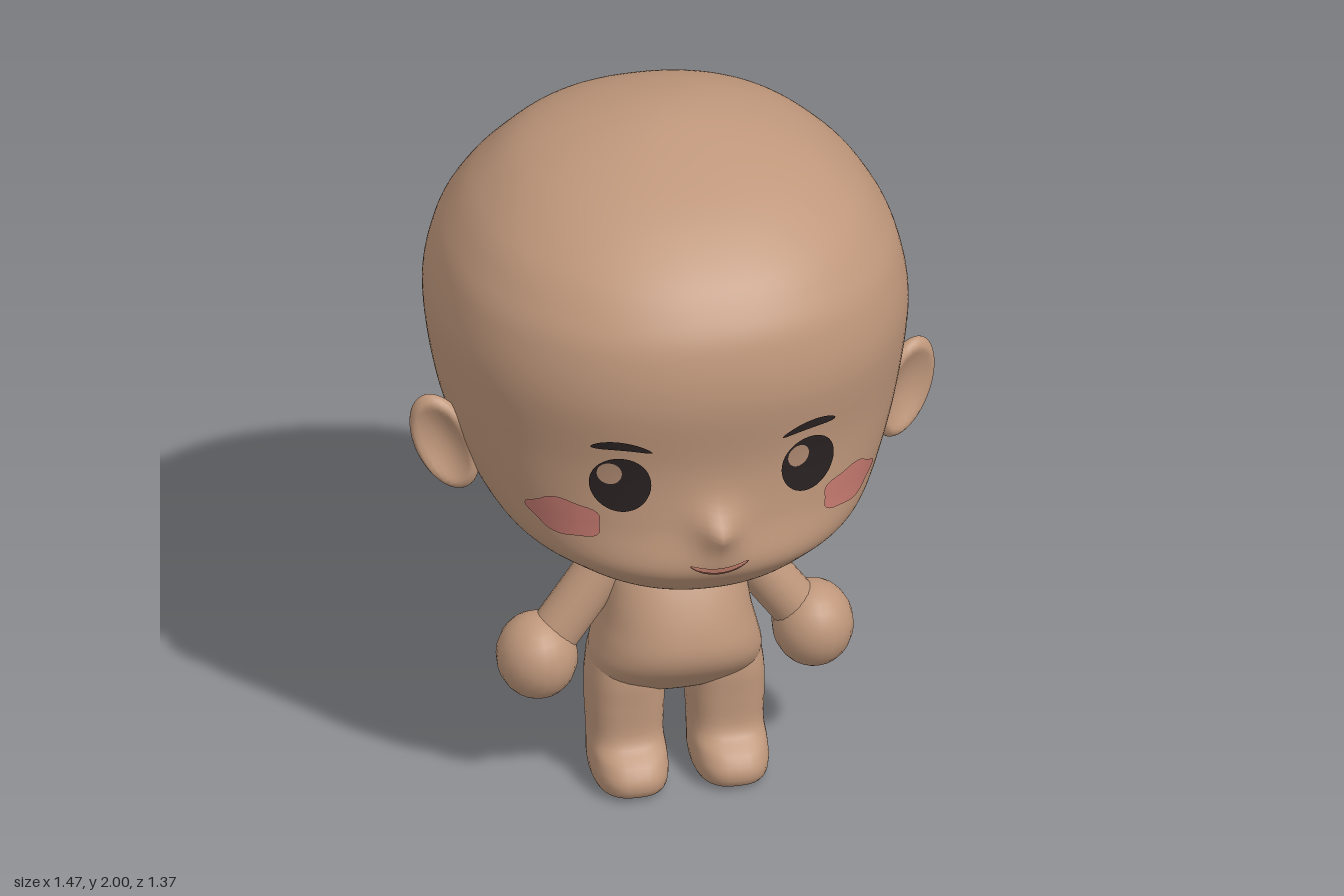
import * as THREE from 'three';

const mat = (name, color) => {
  const m = new THREE.MeshStandardMaterial({ color });
  m.name = name;
  return m;
};

// Smooth interpolation through cross-sections [y, halfWidth, zBack, zFront]
function section(rows, t) {
  const last = rows.length - 1;
  const i = Math.min(Math.floor(t), last - 1), f = t - i;
  const mirror = ([y, w, b, z]) => [y, -w, z, b]; // continues a closed end over its pole
  const p0 = i > 0 ? rows[i - 1] : mirror(rows[1]);
  const p1 = rows[i], p2 = rows[i + 1];
  const p3 = i + 2 <= last ? rows[i + 2] : mirror(rows[last - 1]);
  return p1.map((b, k) => {
    const a = p0[k], c = p2[k], d = p3[k];
    return 0.5 * (2 * b + (c - a) * f + (2 * a - 5 * b + 4 * c - d) * f * f + (3 * b - a - 3 * c + d) * f * f * f);
  });
}

// Closed smooth body made of superellipse loops stacked in y
function loft(rows, power, around, steps, bump = () => 0) {
  const pos = [], idx = [];
  const count = (rows.length - 1) * steps;
  const bend = (v) => Math.sign(v) * Math.abs(v) ** (2 / power);
  for (let i = 0; i <= count; i++) {
    const [y, w, zb, zf] = section(rows, i / steps);
    for (let j = 0; j < around; j++) {
      const a = (j / around) * Math.PI * 2;
      const x = w * bend(Math.sin(a));
      let z = (zb + zf) / 2 + ((zf - zb) / 2) * bend(Math.cos(a));
      if (Math.cos(a) > 0) z += bump(x, y);
      pos.push(x, y, z);
      if (i < count) {
        const p = i * around + j, q = i * around + ((j + 1) % around);
        idx.push(p, q, p + around, q, q + around, p + around);
      }
    }
  }
  const g = new THREE.BufferGeometry();
  g.setAttribute('position', new THREE.Float32BufferAttribute(pos, 3));
  g.setIndex(idx);
  g.computeVertexNormals();
  return g;
}

const HEAD_POWER = 2.2;
const headRows = [
  [0.76, 0, 0.24, 0.24], [0.775, 0.17, 0.03, 0.41], [0.82, 0.33, -0.29, 0.53], [0.88, 0.43, -0.38, 0.6],
  [0.945, 0.51, -0.46, 0.635], [1.07, 0.58, -0.575, 0.617], [1.24, 0.63, -0.64, 0.615], [1.45, 0.655, -0.687, 0.648],
  [1.6, 0.632, -0.662, 0.635], [1.7, 0.588, -0.61, 0.59], [1.8, 0.515, -0.525, 0.5], [1.9, 0.39, -0.42, 0.34],
  [1.97, 0.21, -0.25, 0.13], [2.0, 0, -0.06, -0.06],
];
const nose = (x, y) => 0.072 * Math.exp(-(Math.hypot(x / 0.05, (y - 1.06) / 0.06) ** 1.5));

// Front surface of the head at (x, y)
function headZ(x, y) {
  let lo = 0, hi = headRows.length - 1;
  for (let k = 0; k < 30; k++) {
    const mid = (lo + hi) / 2;
    if (section(headRows, mid)[0] < y) lo = mid; else hi = mid;
  }
  const [, w, zb, zf] = section(headRows, lo);
  const u = Math.min(Math.abs(x) / w, 1);
  return (zb + zf) / 2 + ((zf - zb) / 2) * (1 - u ** HEAD_POWER) ** (1 / HEAD_POWER) + nose(x, y);
}

// Thin painted patch that follows the face; shape maps a unit disc to an offset
function facePatch(cx, cy, lift, shape) {
  const g = new THREE.RingGeometry(0, 1, 40, 6);
  const p = g.attributes.position;
  for (let i = 0; i < p.count; i++) {
    const [dx, dy] = shape(p.getX(i), p.getY(i));
    p.setXYZ(i, cx + dx, cy + dy, headZ(cx + dx, cy + dy) + lift);
  }
  g.computeVertexNormals();
  return g;
}
const oval = (w, h) => (u, v) => [u * w, v * h];
const arc = (w, h, sag) => (u, v) => [u * w, v * h + sag * u * u];

// Flattened oval with a hollow front
function earGeometry() {
  const g = new THREE.SphereGeometry(1, 28, 24);
  const p = g.attributes.position;
  for (let i = 0; i < p.count; i++) {
    const x = p.getX(i), y = p.getY(i);
    let z = p.getZ(i);
    if (z > 0) z -= 1.1 * Math.max(0, 1 - (x * x + y * y) / 0.7);
    p.setXYZ(i, x * 0.085, y * 0.15, z * 0.045);
  }
  g.computeVertexNormals();
  return g;
}

export function createModel() {
  const model = new THREE.Group();
  model.name = 'figure';
  const skin = mat('skin', 0xbf977b);
  const dark = mat('eye dark', 0x2a2222);
  const shine = mat('eye shine', 0xb08a72);
  const blush = mat('blush', 0xc67a70);
  const lip = mat('lip', 0xc4816f);
  const lipLine = mat('lip line', 0x6e453a);

  const add = (name, geometry, material, parent = model) => {
    const m = new THREE.Mesh(geometry, material);
    m.name = name;
    parent.add(m);
    return m;
  };

  // Head and torso
  add('head', loft(headRows, HEAD_POWER, 128, 8, nose), skin);
  add('torso', loft([
    [0.265, 0, 0.09, 0.09], [0.285, 0.14, 0.01, 0.16], [0.33, 0.225, -0.045, 0.215], [0.39, 0.237, -0.09, 0.275],
    [0.45, 0.225, -0.108, 0.298], [0.52, 0.208, -0.11, 0.288], [0.6, 0.197, -0.1, 0.257], [0.68, 0.185, -0.08, 0.213],
    [0.74, 0.145, -0.05, 0.18], [0.8, 0.12, -0.03, 0.16], [0.84, 0, 0.06, 0.06],
  ], 2.3, 48, 5), skin);

  // Leg with foot
  const legGeo = loft([
    [0.003, 0, 0.12, 0.12], [0.008, 0.085, 0.0, 0.25], [0.05, 0.104, -0.022, 0.28], [0.1, 0.105, -0.022, 0.255],
    [0.15, 0.103, -0.022, 0.2], [0.25, 0.107, -0.025, 0.197], [0.34, 0.103, -0.035, 0.2], [0.42, 0.08, -0.03, 0.18],
    [0.46, 0, 0.08, 0.08],
  ], 2.6, 32, 4);

  // Arm capsule from shoulder to wrist
  const shoulder = new THREE.Vector3(0.18, 0.68, 0.08), wrist = new THREE.Vector3(0.355, 0.44, 0.09);
  const along = wrist.clone().sub(shoulder);
  const armGeo = new THREE.CapsuleGeometry(0.07, along.length(), 8, 20);
  armGeo.applyQuaternion(new THREE.Quaternion().setFromUnitVectors(new THREE.Vector3(0, 1, 0), along.clone().normalize()));
  armGeo.translate(...shoulder.clone().add(wrist).multiplyScalar(0.5).toArray());

  const earGeo = earGeometry();

  for (const [side, s] of [['left', 1], ['right', -1]]) {
    // Limbs and ear, mirrored across x
    const half = new THREE.Group();
    half.name = side + 'Limbs';
    half.scale.x = s;
    model.add(half);
    add(side + 'Leg', legGeo, skin, half).position.x = 0.14;
    add(side + 'Arm', armGeo, skin, half);
    const hand = add(side + 'Hand', new THREE.SphereGeometry(1, 20, 14), skin, half);
    hand.position.set(0.385, 0.405, 0.095);
    hand.scale.set(0.112, 0.122, 0.122);
    const ear = add(side + 'Ear', earGeo, skin, half);
    ear.position.set(0.642, 1.115, 0.09);
    ear.rotation.set(0, 0.4, -0.38);

    // Eye with a highlight on the same side for both eyes
    const ex = 0.262 * s;
    add(side + 'Eye', facePatch(ex, 1.21, 0.006, oval(0.08, 0.088)), dark);
    add(side + 'EyeShine', facePatch(ex - 0.03, 1.245, 0.009, oval(0.032, 0.035)), shine);

    // Brow and cheek
    add(side + 'Brow', facePatch(ex, 1.341, 0.006,
      (u, v) => [u * 0.08, v * 0.014 * (1 + 0.2 * u * s) - 0.014 * u * u + 0.005 * u * s]), dark);
    add(side + 'Blush', facePatch(0.395 * s, 1.075, 0.007, (u, v) => {
      const k = 1 + 0.07 * Math.cos(5 * Math.atan2(v, u * s));
      return [u * 0.086 * k, v * 0.058 * k];
    }), blush);
  }

  // Smiling mouth
  add('mouthLine', facePatch(0, 0.938, 0.005, arc(0.082, 0.011, 0.022)), lipLine);
  add('mouth', facePatch(0, 0.942, 0.008, arc(0.078, 0.008, 0.02)), lip);

  return model;
}
